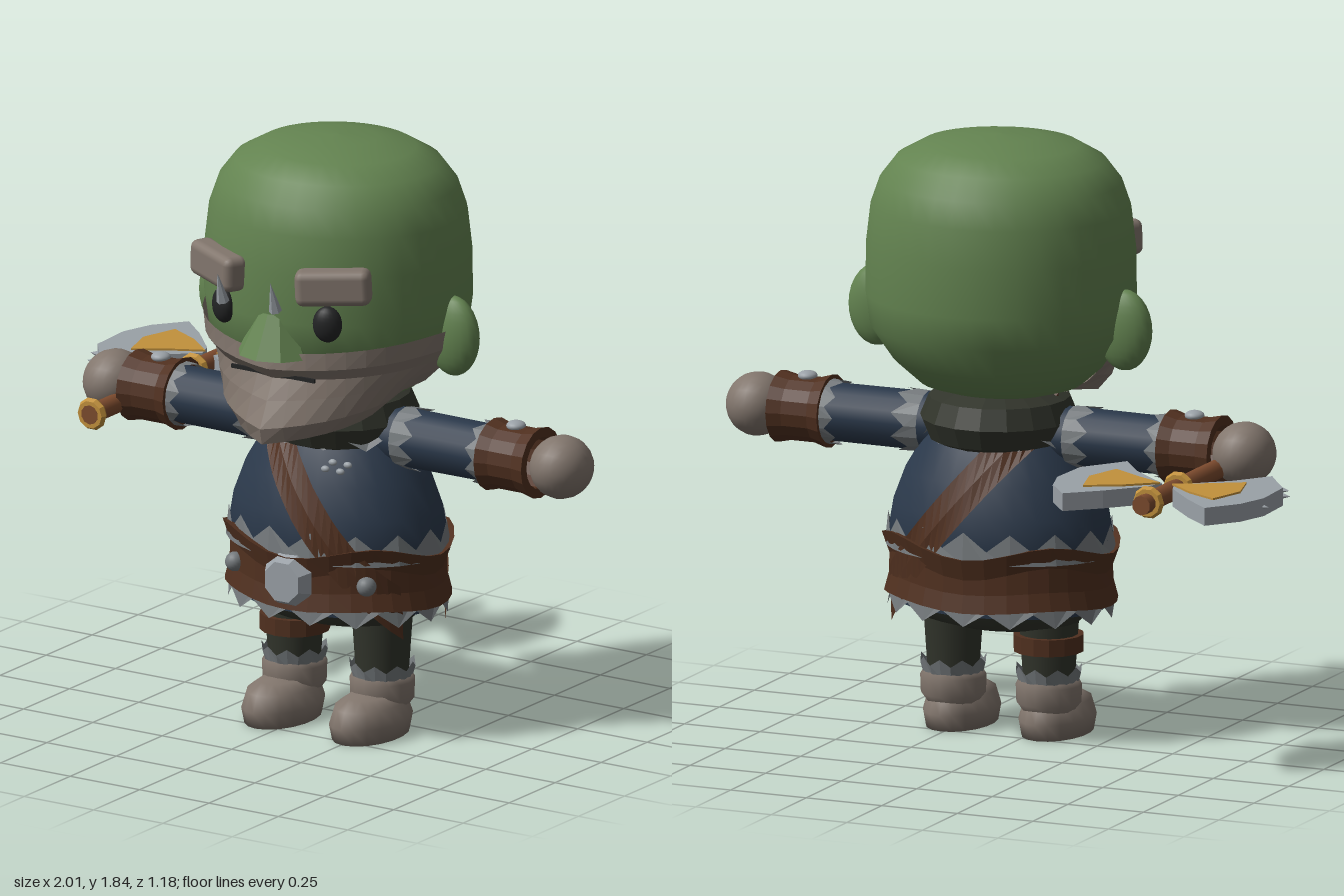
import * as THREE from 'three';
import { RoundedBoxGeometry } from 'three/addons/geometries/RoundedBoxGeometry.js';

const CX = 0.1, CZ = 0.07; // body axis

const mat = (name, color) => new THREE.MeshStandardMaterial({ name, color, side: THREE.DoubleSide });

// radius of a [radius, y] profile at height y
function radiusAt(profile, y) {
  for (let i = 1; i < profile.length; i++) {
    const [r0, y0] = profile[i - 1], [r1, y1] = profile[i];
    if (y <= y1) return r0 + (r1 - r0) * Math.max(0, (y - y0) / (y1 - y0));
  }
  return 0;
}

function flat(g) {
  const f = g.index ? g.toNonIndexed() : g;
  f.computeVertexNormals();
  return f;
}

const lathe = (profile, seg = 24) =>
  new THREE.LatheGeometry(profile.map(([r, y]) => new THREE.Vector2(r, y)), seg);

// faceted surface through rows of points
function grid(rows) {
  const pos = rows.flat(2), n = rows[0].length, index = [];
  for (let j = 0; j < rows.length - 1; j++) for (let i = 0; i < n - 1; i++) {
    const a = j * n + i, b = a + n;
    index.push(a, b, a + 1, b, b + 1, a + 1);
  }
  const g = new THREE.BufferGeometry();
  g.setAttribute('position', new THREE.Float32BufferAttribute(pos, 3));
  g.setIndex(index);
  return flat(g);
}

// ring with a jagged edge running from the base height to long and short tips
function zigzag(rBase, rTip, zScale, base, long, short, teeth) {
  const rows = [[], []];
  for (let i = 0; i <= teeth * 2; i++) {
    const a = i / teeth * Math.PI, s = Math.sin(a), c = Math.cos(a) * zScale;
    rows[0].push([rBase * s, base, rBase * c]);
    rows[1].push([rTip * s, i % 2 ? long : short, rTip * c]);
  }
  return grid(rows);
}

export function createModel() {
  const root = new THREE.Group();
  root.name = 'axeWarrior';
  const green = mat('green skin', 0x638350), tan = mat('taupe', 0x82766d), navy = mat('navy cloth', 0x2b394b),
    brown = mat('brown leather', 0x50301f), trim = mat('grey fur trim', 0x757a7d), gold = mat('gold', 0xc2913c),
    wood = mat('wood', 0x7d4b2e), black = mat('eye black', 0x232425), olive = mat('dark olive cloth', 0x31342b),
    steel = mat('steel', 0x9aa1a7);

  const add = (name, geo, m, x = 0, y = 0, z = 0, parent = root) => {
    const mesh = new THREE.Mesh(geo, m);
    mesh.name = name;
    mesh.position.set(x, y, z);
    parent.add(mesh);
    return mesh;
  };
  const ball = (rx, ry, rz) => new THREE.SphereGeometry(1, 20, 14).scale(rx, ry, rz);

  // head
  const headProfile = [[0, 1.03], [0.15, 1.05], [0.25, 1.08], [0.33, 1.15], [0.4, 1.25], [0.414, 1.35], [0.412, 1.5],
    [0.398, 1.62], [0.37, 1.7], [0.32, 1.765], [0.24, 1.81], [0.12, 1.835], [0, 1.84]];
  add('head', lathe(headProfile, 36).scale(1, 1, 0.92), green, CX, 0, CZ);
  add('nose', flat(new THREE.CylinderGeometry(0.06, 0.125, 0.13, 10)), green, CX, 1.305, 0.395);

  // beard rows: side height, middle height, side radius, middle radius
  const beardRows = [[1.3, 1.25, 0.416, 0.412], [1.24, 1.2, 0.404, 0.42], [1.2, 1.165, 0.376, 0.385],
    [1.16, 1.1, 0.347, 0.42], [1.11, 1.02, 0.295, 0.462], [1.07, 0.97, 0.225, 0.45], [1.05, 1.03, 0.14, 0.2]];
  add('beard', grid(beardRows.map(([ys, yc, rs, rc]) => {
    const row = [];
    for (let i = 0; i <= 22; i++) {
      const a = (i / 11 - 1) * 1.66, w = Math.max(0, 1 - Math.abs(a) / 1.3);
      const r = rs + (rc - rs) * w + 0.003;
      row.push([r * Math.sin(a), ys + (yc - ys) * w, r * Math.cos(a) * 0.92]);
    }
    return row;
  })), tan, CX, 0, CZ);
  add('mouth', new THREE.BoxGeometry(0.3, 0.012, 0.008), black, CX, 1.178, 0.425);

  for (const s of [-1, 1]) {
    const side = s > 0 ? 'left' : 'right';
    add(side + 'Ear', ball(0.09, 0.125, 0.05), green, CX + s * 0.41, 1.275, 0.065);
    add(side + 'Eye', ball(0.045, 0.056, 0.03), black, CX + s * 0.187, 1.36, 0.412).rotation.y = s * 0.4;
    add(side + 'Brow', new RoundedBoxGeometry(0.23, 0.11, 0.08, 2, 0.025), tan, CX + s * 0.207, 1.48, 0.41)
      .rotation.set(0, s * 0.45, s * 0.05);
    const tusk = add(side + 'Tusk', flat(new THREE.ConeGeometry(0.02, 0.1, 6)), steel, CX + s * 0.095, 1.47, 0.57);
    tusk.rotation.x = 0.3;
  }

  // torso and collar
  const torso = [[0.33, 0.4], [0.352, 0.62], [0.338, 0.7], [0.3, 0.8], [0.24, 0.9], [0.16, 1], [0, 1.05]];
  add('tunic', lathe(torso, 28).scale(1, 1, 0.75), navy, CX, 0, CZ);
  add('collar', flat(new THREE.TorusGeometry(0.15, 0.09, 8, 18).rotateX(Math.PI / 2)), olive, CX, 0.975, 0.06);
  add('collarTrim', zigzag(0.19, 0.245, 0.8, 0.98, 0.905, 0.94, 11), trim, CX, 0, CZ);
  for (let i = 0; i < 4; i++) add('chestClasp', ball(0.014, 0.01, 0.01), steel, 0.18 + i * 0.027, 0.85 + (i % 2) * 0.025, 0.262);

  // diagonal strap following the tunic, right shoulder to left hip
  for (const f of [-1, 1]) {
    const rows = [-0.085, 0, 0.085].map((w) => {
      const row = [];
      for (let i = 0; i <= 20; i++) {
        const x = -0.19 + i * 0.025, y = 0.79 - 1.2 * x + w, r = radiusAt(torso, y) + 0.015;
        row.push([x, Math.min(y, 1.06), f * 0.76 * Math.sqrt(Math.max(0, r * r - x * x))]);
      }
      return row;
    });
    add(f > 0 ? 'strapFront' : 'strapBack', grid(rows), brown, CX, 0, CZ);
  }

  // belt with a gently waving outline
  const belt = lathe([[0.33, 0.43], [0.365, 0.425], [0.35, 0.48], [0.348, 0.54], [0.372, 0.605], [0.335, 0.6]], 32);
  const p = belt.attributes.position;
  for (let i = 0; i < p.count; i++) {
    const a = Math.atan2(p.getX(i), p.getZ(i));
    p.setY(i, p.getY(i) - 0.022 * Math.cos(4 * a) * (p.getY(i) > 0.52 ? 1 : 0.3));
  }
  add('belt', flat(belt.scale(1, 1, 0.78)), brown, CX, 0, CZ);
  add('upperTrim', zigzag(0.362, 0.352, 0.77, 0.57, 0.665, 0.61, 15), trim, CX, 0, CZ);
  add('lowerTrim', zigzag(0.34, 0.355, 0.77, 0.45, 0.375, 0.42, 15), trim, CX, 0, CZ);
  add('buckle', flat(new THREE.CylinderGeometry(0.065, 0.088, 0.04, 8).rotateY(Math.PI / 8).rotateX(Math.PI / 2)), steel, CX, 0.51, 0.36);
  for (const s of [-1, 1]) add('beltStud', ball(0.03, 0.03, 0.03), trim, CX + s * 0.237, 0.51, 0.275);
  add('trousers', lathe([[0, 0.325], [0.15, 0.33], [0.25, 0.355], [0.31, 0.42], [0.32, 0.45]]).scale(1, 1, 0.72), olive, CX, 0, CZ);

  // legs, boots and arms
  for (const s of [-1, 1]) {
    const side = s > 0 ? 'left' : 'right', x = CX + s * 0.158;
    add(side + 'Leg', new THREE.CylinderGeometry(0.095, 0.08, 0.22, 14), olive, x, 0.29, CZ);
    add(side + 'AnkleTrim', zigzag(0.09, 0.1, 1, 0.165, 0.222, 0.2, 9), trim, x, 0, CZ);
    add(side + 'BootCuff', lathe([[0.08, 0.08], [0.098, 0.105], [0.1, 0.16], [0.085, 0.188], [0, 0.19]], 16), tan, x, 0, CZ);
    add(side + 'Foot', lathe([[0, 0], [0.098, 0], [0.106, 0.05], [0.093, 0.1], [0.06, 0.125], [0, 0.132]], 18).scale(1, 1, 1.55),
      tan, x, 0, 0.132);

    const arm = new THREE.Group();
    arm.name = side + 'Arm';
    arm.position.set(CX, 0.93, CZ);
    arm.rotation.z = -s * Math.PI / 2;
    root.add(arm);
    add('sleeve', new THREE.CylinderGeometry(0.088, 0.09, 0.46, 14), navy, 0, 0.35, 0, arm);
    add('shoulderTrim', zigzag(0.093, 0.096, 1, 0.24, 0.325, 0.28, 8), trim, 0, 0, 0, arm);
    add('sleeveTrim', zigzag(0.1, 0.097, 1, 0.575, 0.515, 0.545, 9), trim, 0, 0, 0, arm);
    add('cuff', flat(lathe([[0.08, 0.56], [0.112, 0.56], [0.1, 0.6], [0.1, 0.685], [0.11, 0.73], [0.08, 0.73]], 16)),
      brown, 0, 0, 0, arm);
    add('hand', ball(0.097, 0.095, 0.103), tan, 0, 0.805, 0, arm);
    add(side + 'CuffStud', ball(0.03, 0.016, 0.03), steel, CX + s * 0.64, 1.032, CZ);
  }
  add('legStrap', flat(new THREE.CylinderGeometry(0.107, 0.107, 0.052, 14)), brown, -0.057, 0.29, CZ);

  // double axe held in the right hand, lying along z
  const axe = new THREE.Group();
  axe.name = 'axe';
  axe.position.set(-0.645, 0.89, 0);
  root.add(axe);
  add('handle', new THREE.CylinderGeometry(0.03, 0.03, 0.84, 10).rotateX(Math.PI / 2), wood, 0, 0, -0.12, axe);
  for (const z of [-0.485, -0.27, 0.285])
    add('handleRing', flat(new THREE.TorusGeometry(0.035, 0.016, 6, 10)), gold, 0, 0, z, axe);
  const plate = (pts, s, depth) => new THREE.ExtrudeGeometry(
    new THREE.Shape(pts.map(([x, z]) => new THREE.Vector2(s * x, -z))), { depth, bevelEnabled: false }).rotateX(-Math.PI / 2);
  const blade = [[0.02, -0.345], [0.04, -0.4], [0.14, -0.51], [0.235, -0.595], [0.31, -0.5], [0.342, -0.4],
    [0.335, -0.25], [0.29, -0.19], [0.24, -0.12], [0.16, -0.225]];
  const inlay = [[0.02, -0.36], [0.11, -0.435], [0.215, -0.49], [0.25, -0.37], [0.215, -0.25], [0.11, -0.315]];
  for (const s of [-1, 1]) {
    add('axeBlade', plate(blade, s, 0.055), steel, 0, -0.0275, 0, axe);
    add('bladeInlay', plate(inlay, s, 0.006), gold, 0, 0.0275, 0, axe);
    for (const [x, z] of [[0.335, -0.4], [0.33, -0.24], [0.295, -0.17]]) {
      const spike = add('bladeSpike', flat(new THREE.ConeGeometry(0.018, 0.05, 6)), steel, s * x, 0, z, axe);
      spike.rotation.z = -s * Math.PI / 2;
    }
  }
  return root;
}
